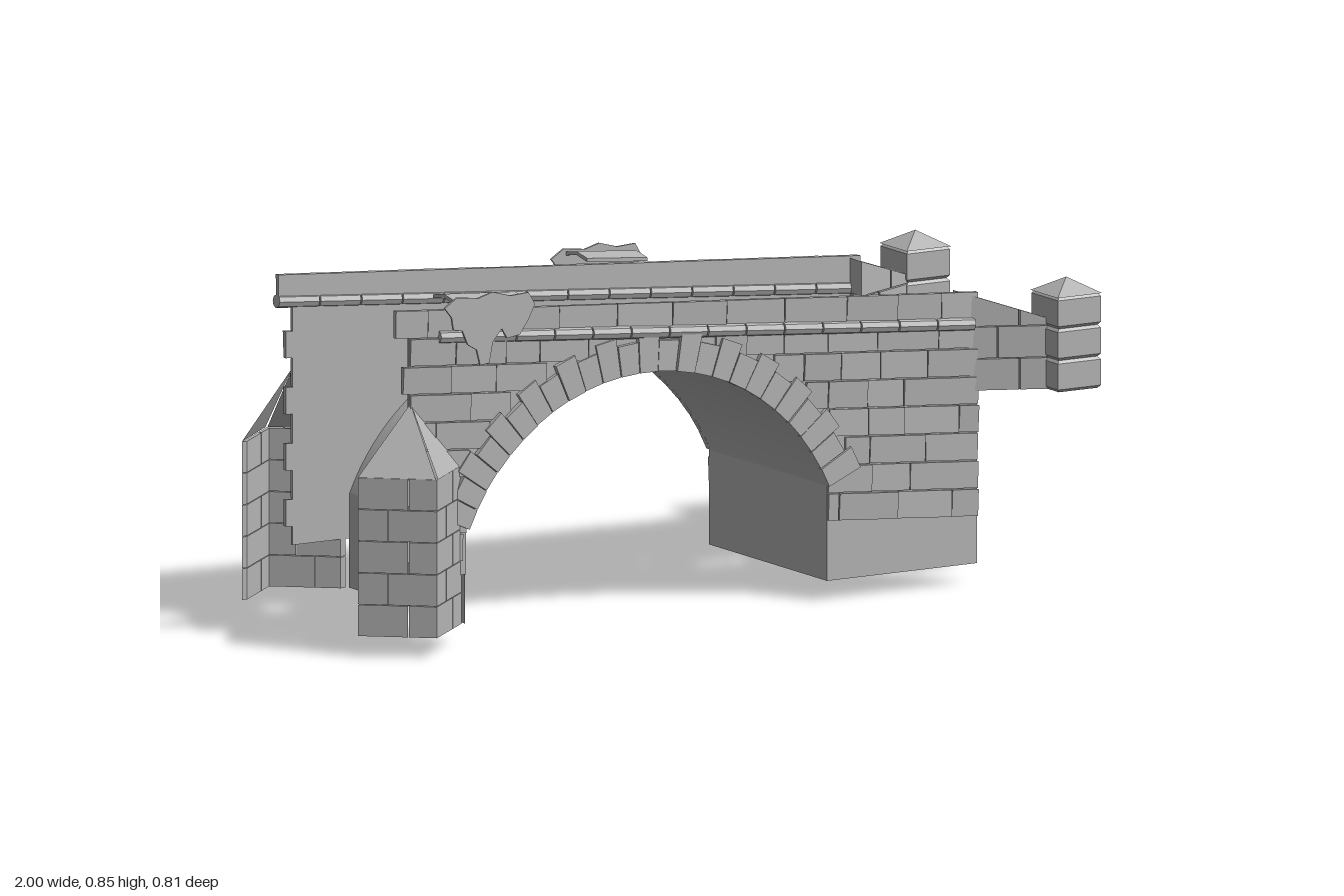
import * as THREE from 'three';
import { mergeGeometries } from 'three/addons/utils/BufferGeometryUtils.js';

const stone = new THREE.MeshStandardMaterial({ color: 0xb4b4b4, side: THREE.DoubleSide });
stone.name = 'grey stone';

// arch circle and wall outline
const CX = -0.195, CY = 0.059, R = 0.551, SPRING = 0.4125;
const wallTop = x => 0.762 - 0.074 * x;
const railY = x => 0.69 - 0.082 * x;

let seed = 7;
const rnd = () => (seed = (seed * 16807) % 2147483647) / 2147483647;

function add(parent, name, geometry) {
  const mesh = new THREE.Mesh(geometry, stone);
  mesh.name = name;
  parent.add(mesh);
  return mesh;
}
function flat(g) {
  const f = g.index ? g.toNonIndexed() : g;
  f.computeVertexNormals();
  return f;
}
// unit box whose corners (u, v, w in 0..1) are placed by a rule
function block(rule) {
  const g = new THREE.BoxGeometry(1, 1, 1), p = g.attributes.position;
  for (let i = 0; i < p.count; i++)
    p.setXYZ(i, ...rule(p.getX(i) + 0.5, p.getY(i) + 0.5, p.getZ(i) + 0.5));
  return flat(g);
}
const mix = THREE.MathUtils.lerp;

// thin spandrel wall with the arch opening cut out
function wallSheet() {
  const s = new THREE.Shape();
  s.moveTo(-0.86, wallTop(-0.86));
  s.lineTo(-0.86, 0.17);
  s.lineTo(-0.7, 0.17);
  s.lineTo(-0.7, 0.28);
  s.absarc(CX, CY, R, Math.PI - SPRING, SPRING, true);
  s.lineTo(0.31, 0.05);
  s.lineTo(0.73, 0.05);
  s.lineTo(0.73, wallTop(0.73));
  return new THREE.ExtrudeGeometry(s, { depth: 0.006, bevelEnabled: false, curveSegments: 40 })
    .translate(0, 0, 0.26);
}

// coursed bricks following the slope of the wall top
function wallBricks() {
  const list = [], h = 0.068, gap = 0.0015;
  for (let k = 0; k < 10; k++) {
    let x = k === 0 ? -0.9 : k % 2 ? -0.86 : -0.88;
    while (x < 0.72) {
      let end = Math.min(0.73, x + 0.09 + 0.09 * rnd());
      if (0.73 - end < 0.05) end = 0.73;
      const ym = wallTop((x + end) / 2) - (k + 0.5) * h, dy = ym - CY;
      const half = ym < 0.3 ? 0.505 : Math.abs(dy) < 0.63 ? Math.sqrt(0.63 ** 2 - dy * dy) : 0;
      const pieces = half ? [[x, Math.min(end, CX - half)], [Math.max(x, CX + half), end]] : [[x, end]];
      for (const [a, b] of pieces) {
        if (b - a < 0.015 || ym < 0.19) continue;
        const t1 = 0.005 * rnd(), t2 = 0.005 * rnd();
        list.push(block((u, v, w) => {
          const bx = mix(a + gap, b - gap, u);
          return [bx, wallTop(bx) - mix((k + 1) * h - gap, k * h + (k ? gap : 0), v),
            w ? 0.27 + t1 * u + t2 * v : 0.26];
        }));
      }
      x = end;
    }
  }
  return mergeGeometries(list);
}

// wedge stones around the arch
function voussoirs() {
  const list = [], n = 25, step = (Math.PI - 2 * SPRING) / n;
  for (let i = 0; i < n; i++) {
    const a = SPRING + i * step, outer = R + (i % 2 ? 0.075 : 0.095), z = 0.276 + 0.006 * rnd();
    list.push(block((u, v, w) => {
      const t = a + step * mix(0.98, 0.02, u), r = mix(R, outer, v);
      return [CX + r * Math.cos(t), CY + r * Math.sin(t), w ? z : 0.26];
    }));
  }
  return mergeGeometries(list);
}

// jointed round moulding running through the wall
function rail(from, to) {
  const list = [], n = 14;
  for (let i = 0; i < n; i++) {
    const a = mix(from, to, i / n), b = mix(from, to, (i + 1) / n) - 0.004;
    const len = Math.hypot(b - a, railY(b) - railY(a));
    const g = new THREE.CylinderGeometry(0.0165, 0.0165, len, 8).rotateZ(Math.PI / 2 + Math.atan(-0.082));
    list.push(flat(g.translate((a + b) / 2, railY((a + b) / 2), 0.268)));
  }
  return mergeGeometries(list);
}

// pointed pier: two coursed faces meeting at a ridge, with a leaning roof
function pier(parent) {
  const A = [-1, 0.262], B = [-0.855, 0.385], C = [-0.71, 0.262], list = [], n = 5, h = 0.385 / n;
  for (const [P, Q] of [[A, B], [B, C]])
    for (let k = 0; k < n; k++) {
      const cut = k % 2 ? 0.38 : 0.64;
      for (const [a, b] of [[0, cut - 0.006], [cut + 0.006, 1]]) {
        list.push(block((u, v, w) => {
          const t = mix(a, b, u), s = w ? 1 : 0.9;
          return [mix(-0.855, mix(P[0], Q[0], t), s), 0.05 + (k + 0.01 + 0.98 * v) * h,
            mix(0.262, mix(P[1], Q[1], t), s)];
        }));
      }
    }
  add(parent, 'pierCourses', mergeGeometries(list));
  const roof = new THREE.BufferGeometry();
  const e = 0.435, top = [-0.855, 0.6, 0.266];
  roof.setAttribute('position', new THREE.Float32BufferAttribute([
    A[0], e, A[1], B[0] - 0.003, e, B[1], ...top,
    B[0] + 0.003, e, B[1], C[0], e, C[1], ...top], 3));
  roof.computeVertexNormals();
  add(parent, 'pierRoof', roof);
}

// splayed wing wall; u runs from the bridge to the end post
function wing(bottom) {
  const list = [], h = 0.0775;
  const course = (y0, y1, u0, u1) => {
    const j = 0.003 * rnd();
    list.push(block((u, v, w) => {
      const t = mix(u0, u1, u), y = mix(y0 + 0.001, y1 - 0.001, v);
      return [0.7 + 0.17 * t, Math.min(y, 0.705 - 0.06 * t), 0.208 + 0.078 * t + (w ? 0.057 + j : -j)];
    }));
  };
  for (let y = bottom, k = 0; y < 0.7; y += h, k++) {
    const end = y < 0.15 ? 1.35 : 1.05, cut = k % 2 ? 0.4 : 0.68;
    const y1 = y + h > 0.68 ? 0.71 : y + h;
    course(y, y1, 0, cut - 0.01);
    course(y, y1, cut + 0.01, end);
    if (y1 > 0.7) break;
  }
  return mergeGeometries(list);
}

// square end post with grooved courses and a pyramid cap
function post(parent, bottom) {
  const h = 0.077, n = Math.round((0.7 - bottom) / h), d = Math.SQRT2, pts = [new THREE.Vector2(0, bottom)];
  for (let k = 0; k < n; k++) {
    const y = mix(bottom, 0.7, k / n), y1 = mix(bottom, 0.7, (k + 1) / n);
    pts.push(new THREE.Vector2(0.054 * d, y), new THREE.Vector2(0.06 * d, y + 0.007),
      new THREE.Vector2(0.06 * d, y1 - 0.007), new THREE.Vector2(0.054 * d, y1));
  }
  const shaft = flat(new THREE.LatheGeometry(pts, 4, Math.PI / 4));
  add(parent, 'postShaft', shaft).position.set(0.933, 0, 0.341);
  const cap = flat(new THREE.ConeGeometry(0.062 * d, 0.036, 4, 1, false, Math.PI / 4));
  add(parent, 'postCap', cap).position.set(0.933, 0.718, 0.341);
}

// carved plaque on the parapet with a small gabled cover behind it
function plaque(parent, x, y, capX, capY) {
  const s = new THREE.Shape([
    [-0.125, 0.06], [-0.09, 0.082], [-0.03, 0.075], [0.01, 0.086], [0.06, 0.072], [0.11, 0.075],
    [0.128, 0.045], [0.11, 0.01], [0.085, -0.025], [0.05, -0.03], [0.035, -0.005], [0.01, -0.035],
    [0, -0.085], [-0.025, -0.088], [-0.035, -0.05], [-0.06, -0.035], [-0.075, 0],
    [-0.1, 0.005], [-0.105, 0.035]].map(p => new THREE.Vector2(...p)));
  const plate = new THREE.ExtrudeGeometry(s, { depth: 0.006, bevelEnabled: false });
  add(parent, 'carvedPlaque', plate).position.set(x, y, 0.293);
  const halves = [[0.197, 0.246], [0.246, 0.295]].map(([z0, z1], i) => block((u, v, w) =>
    [mix(-0.1, 0.1, u) * (capX > -0.3 ? 0.84 : 1),
      (w === i ? -0.006 : 0.003) + v * 0.009 - 0.074 * mix(-0.1, 0.1, u), mix(z0, z1, w)]));
  add(parent, 'plaqueCover', mergeGeometries(halves)).position.set(capX, capY, 0);
}

function side(name, o) {
  const g = new THREE.Group();
  g.name = name;
  add(g, 'spandrelWall', wallSheet());
  add(g, 'wallBricks', wallBricks());
  add(g, 'archStones', voussoirs());
  add(g, 'railMoulding', rail(o.railStart, 0.72));
  pier(g);
  add(g, 'wingWall', wing(o.wingBottom));
  post(g, o.postBottom);
  plaque(g, ...o.plaque);
  return g;
}

export function createModel() {
  const bridge = new THREE.Group();
  bridge.name = 'stoneBridge';

  // vault under the roadway and its upright abutment faces
  const vault = new THREE.CylinderGeometry(R, R, 0.524, 40, 1, true, Math.PI / 2 + SPRING, Math.PI - 2 * SPRING);
  add(bridge, 'archVault', vault.rotateX(Math.PI / 2)).position.set(CX, CY, 0);
  for (const s of [-1, 1]) {
    const face = new THREE.PlaneGeometry(0.524, 0.23).rotateY(-s * Math.PI / 2);
    add(bridge, 'abutmentFace', face).position.set(CX + s * 0.505, 0.165, 0);
  }

  bridge.add(side('frontSide', {
    railStart: -0.78, wingBottom: 0.47, postBottom: 0.47, plaque: [-0.655, 0.768, -0.65, 0.832] }));
  const back = side('backSide', {
    railStart: -0.9, wingBottom: 0, postBottom: 0.161, plaque: [0.01, 0.72, 0.01, 0.784] });
  back.scale.z = -1;
  bridge.add(back);
  return bridge;
}
